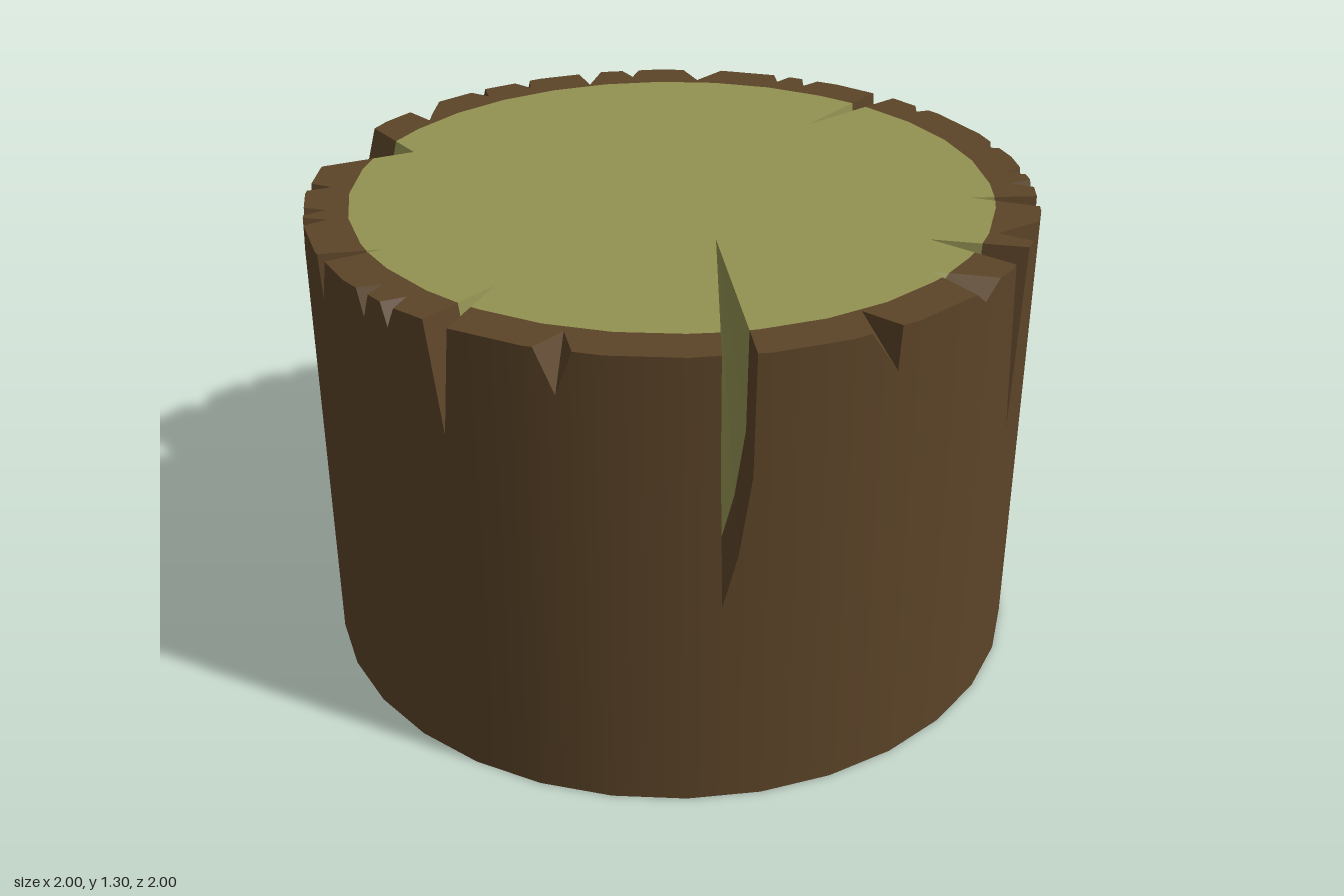
import * as THREE from 'three';

const HEIGHT = 1.3, CORE = 0.88, SIDES = 32, STEP = 360 / SIDES;
const rad = THREE.MathUtils.degToRad;

// Main splits in the rim, angles in degrees from the front towards +x:
// [mouth start, lowest point, mouth end, drop, tip angle, tip radius]
const SPLITS = [
  [3.2, 7.9, 8.3, 0.12, 6, 0.885],
  [23, 26, 30, 0.04, 25.4, 0.84],
  [35.3, 39, 42, 0.51, 38, 0.75],
  [44.5, 50.4, 52, 0.22, 45.5, 0.9],
  [58, 61.3, 62, 0.09, 60.6, 0.815],
  [111.8, 112.6, 116, 0.9, 115.8, 0.644],
  [146, 147.7, 153, 0.37, 150, 0.9],
  [168.3, 169, 172.5, 0.58, 172, 0.89],
  [201, 205, 208, 0.08, 209, 0.9],
  [217.5, 225.5, 236, 0.28, 225, 0.79],
  [271, 272, 274, 0.12, 274, 0.842],
  [299, 301.8, 303.5, 0.3, 300.3, 0.753],
  [316.5, 319.5, 322, 0.12, 319, 0.9],
];

// Small nicks, all of one width and depth: [angle, drop]
const NICKS = [[67.3, 0.08], [72.6, 0.11], [84.5, 0.1], [105, 0.09], [129, 0.11], [134.5, 0.05],
  [162.8, 0.14], [183.5, 0.1], [192.5, 0.11], [244.7, 0.11], [254.5, 0.06], [258.5, 0.09],
  [286, 0.07], [292, 0.06]];

// Point on the 32-sided trunk surface, and on the top at a free radius
function rim(a, y = HEIGHT) {
  const off = (((a % STEP) + STEP) % STEP) - STEP / 2;
  const r = Math.cos(rad(STEP / 2)) / Math.cos(rad(off));
  return onTop(a, r, y);
}
const onTop = (a, r, y = HEIGHT) => new THREE.Vector3(r * Math.sin(rad(a)), y, r * Math.cos(rad(a)));

// Trunk corners strictly between two angles
function corners(from, to) {
  const list = [];
  for (let k = Math.floor(from / STEP) + 1; k * STEP < to - 1e-6; k++) list.push(k * STEP);
  return list;
}

// Where the line from p to the tip enters the core
function coreCut(p, tip) {
  let lo = 0, hi = 1;
  for (let i = 0; i < 30; i++) {
    const mid = (lo + hi) / 2, q = p.clone().lerp(tip, mid);
    if (Math.hypot(q.x, q.z) > CORE) lo = mid; else hi = mid;
  }
  return p.clone().lerp(tip, lo);
}

// Split edge on the bark, with the trunk corners it crosses added
function makeSplit(points, tipAngle, tipRadius) {
  const path = [points[0]];
  for (let i = 1; i < points.length; i++) {
    const [a0, y0] = points[i - 1], [a1, y1] = points[i];
    for (const a of corners(a0, a1)) path.push([a, y0 + (y1 - y0) * (a - a0) / (a1 - a0)]);
    path.push(points[i]);
  }
  return { path, tip: onTop(tipAngle, tipRadius), deep: tipRadius < CORE };
}

const wedge = (l, low, r, drop, tipAngle, tipRadius) =>
  makeSplit([[l, HEIGHT], [low, HEIGHT - drop], [r, HEIGHT]], tipAngle, tipRadius);

function flatMesh(name, points, material) {
  const geo = new THREE.BufferGeometry().setFromPoints(points);
  geo.computeVertexNormals();
  const mesh = new THREE.Mesh(geo, material);
  mesh.name = name;
  return mesh;
}

function topMesh(name, outlines, material) {
  const shapes = outlines.map(o => new THREE.Shape(o.map(p => new THREE.Vector2(p.x, -p.z))));
  const mesh = new THREE.Mesh(new THREE.ShapeGeometry(shapes).rotateX(-Math.PI / 2), material);
  mesh.position.y = HEIGHT;
  mesh.name = name;
  return mesh;
}

export function createModel() {
  const group = new THREE.Group();
  group.name = 'treeStump';
  const bark = new THREE.MeshStandardMaterial({ color: 0x5c4428 });
  const wood = new THREE.MeshStandardMaterial({ color: 0x929252 });

  const splits = [
    ...SPLITS.map(s => wedge(...s)),
    ...NICKS.map(([a, drop]) => wedge(a - 1.5, a, a + 1.5, drop, a, 0.935)),
    // Long ragged crack at the front
    makeSplit([[341.8, HEIGHT], [341.9, 1], [342.4, 0.6], [344.6, 0.75],
      [346.4, 0.97], [346.6, HEIGHT]], 353.7, 0.362),
  ];

  // Whole upper edge of the bark
  const edge = splits.flatMap(s => s.path);
  const inSplit = a => splits.some(s => a >= s.path[0][0] && a <= s.path.at(-1)[0]);
  for (let k = 0; k < SIDES; k++) if (!inSplit(k * STEP)) edge.push([k * STEP, HEIGHT]);
  edge.sort((p, q) => p[0] - q[0]);
  edge.push([360, edge[0][1]]);

  // Bark wall, smooth around the trunk
  const wall = [], normals = [];
  for (let i = 1; i < edge.length; i++) {
    const [a, ya] = edge[i - 1], [b, yb] = edge[i];
    for (const [ang, y] of [[a, 0], [b, 0], [b, yb], [a, 0], [b, yb], [a, ya]]) {
      wall.push(rim(ang, y));
      normals.push(...onTop(ang, 1, 0).toArray());
    }
  }
  const wallMesh = flatMesh('barkWall', wall, bark);
  wallMesh.geometry.setAttribute('normal', new THREE.Float32BufferAttribute(normals, 3));
  group.add(wallMesh);

  // Faces inside the splits: bark outside, wood past the core radius
  const barkFaces = [], woodFaces = [];
  for (const { path, tip, deep } of splits) {
    for (let i = 1; i < path.length; i++) {
      const p = rim(...path[i - 1]), q = rim(...path[i]);
      if (!deep) { barkFaces.push(p, q, tip); continue; }
      const p2 = coreCut(p, tip), q2 = coreCut(q, tip);
      barkFaces.push(p, q, q2, p, q2, p2);
      woodFaces.push(p2, q2, tip);
    }
  }
  group.add(flatMesh('splitBark', barkFaces, bark), flatMesh('splitWood', woodFaces, wood));

  // Top: bark sectors between deep splits, and one wood disc with the deep splits cut out
  const sectors = [], disc = [];
  const deep = splits.filter(s => s.deep).sort((s, t) => s.path[0][0] - t.path[0][0]);
  deep.forEach((s, i) => {
    const next = deep[(i + 1) % deep.length];
    const start = s.path.at(-1)[0];
    const turn = i === deep.length - 1 ? 360 : 0;
    const end = next.path[0][0] + turn;
    const from = coreCut(rim(start), s.tip), to = coreCut(rim(end), next.tip);

    const outer = corners(start, end).filter(a => !inSplit(a % 360)).map(a => [a, [rim(a)]]);
    for (const t of splits) {
      if (t.deep) continue;
      let l = t.path[0][0];
      if (l < start) l += 360;
      if (l < end) outer.push([l, [rim(l), t.tip, rim(t.path.at(-1)[0])]]);
    }
    outer.sort((p, q) => p[0] - q[0]);

    const angle = p => THREE.MathUtils.radToDeg(Math.atan2(p.x, p.z));
    const a0 = (angle(from) + 360) % 360;
    let a1 = angle(to);
    while (a1 < a0) a1 += 360;
    const arc = [from, ...corners(a0, a1).map(a => onTop(a, CORE)), to];

    sectors.push([rim(start), ...outer.flatMap(o => o[1]), rim(end), ...arc.slice().reverse()]);
    disc.push(...arc, next.tip);
  });
  group.add(topMesh('barkRing', sectors, bark), topMesh('woodTop', [disc], wood));

  // Underside
  const base = new THREE.Mesh(new THREE.CircleGeometry(1, SIDES).rotateX(Math.PI / 2), bark);
  base.name = 'underside';
  group.add(base);
  return group;
}
